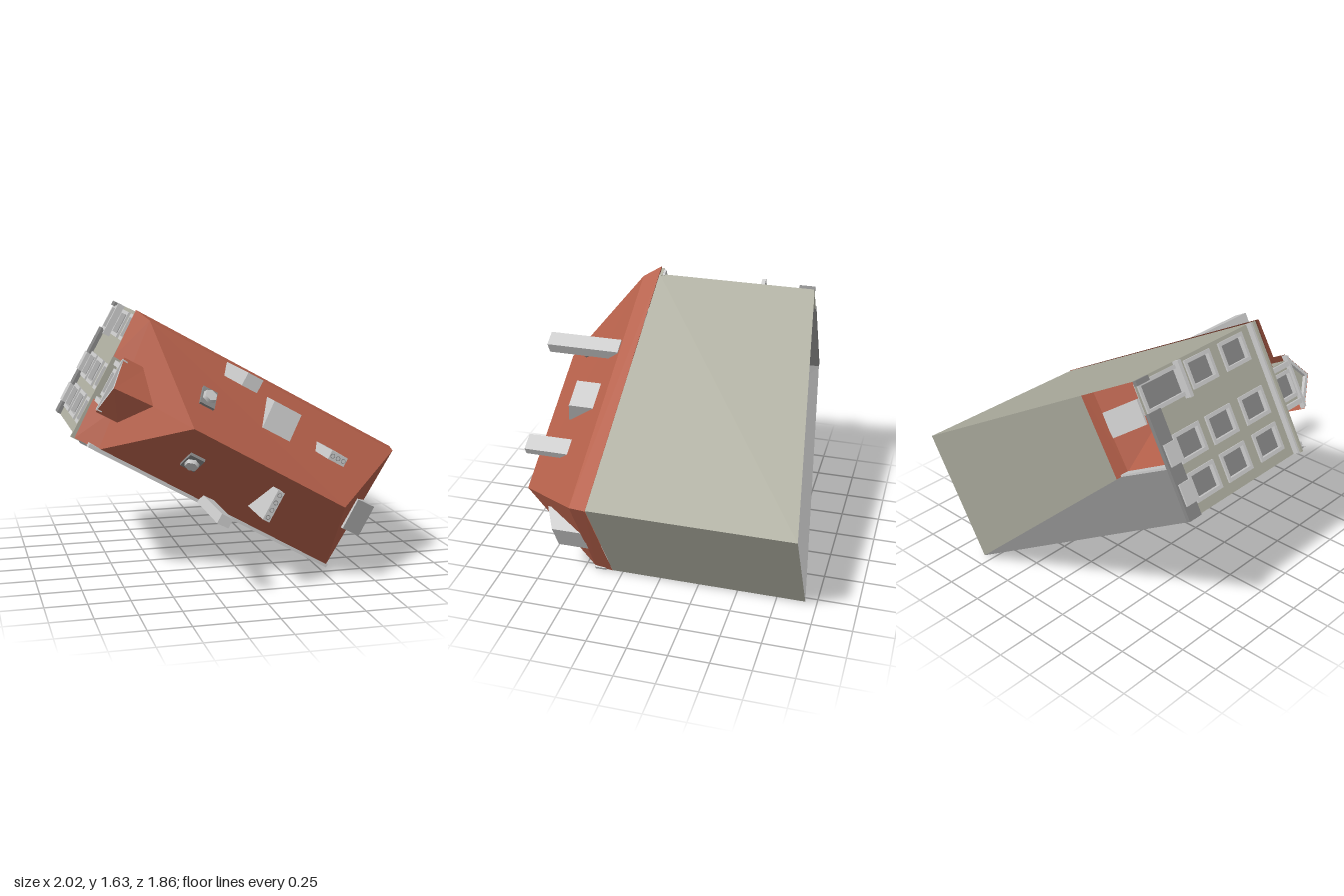
import * as THREE from 'three';

const mat = (name, color, side = THREE.DoubleSide) => {
  const m = new THREE.MeshStandardMaterial({ color, side });
  m.name = name;
  return m;
};

export function createModel() {
  const wall = mat('wall plaster', 0xadad9f);
  const roof = mat('roof tile', 0xb5604a);
  const light = mat('light stone', 0xcacaca);
  const grey = mat('grey concrete', 0x868686);

  const model = new THREE.Group();
  model.name = 'building';
  // Tilted frame: x runs along the ridge, y across it, z from base to roof
  const house = new THREE.Group();
  house.name = 'house';
  house.rotation.z = -0.507;
  model.add(house);

  const add = (name, geo, m, parent = house) => {
    const mesh = new THREE.Mesh(geo, m);
    mesh.name = name;
    parent.add(mesh);
    return mesh;
  };
  const box = (name, m, sx, sy, sz, x, y, z, parent = house) => {
    const b = add(name, new THREE.BoxGeometry(sx, sy, sz), m, parent);
    b.position.set(x, y, z);
    return b;
  };
  // Flat convex faces, each given by its corners
  const faces = (name, m, polys) => {
    const pos = [];
    for (const p of polys)
      for (let i = 1; i < p.length - 1; i++) pos.push(...p[0], ...p[i], ...p[i + 1]);
    const g = new THREE.BufferGeometry();
    g.setAttribute('position', new THREE.Float32BufferAttribute(pos, 3));
    g.computeVertexNormals();
    return add(name, g, m);
  };
  const shapeOf = pts => new THREE.Shape(pts.map(p => new THREE.Vector2(...p)));
  const rect = (x, y, w, h) => [[x - w / 2, y - h / 2], [x + w / 2, y - h / 2], [x + w / 2, y + h / 2], [x - w / 2, y + h / 2]];
  const extrude = (shape, depth) => new THREE.ExtrudeGeometry(shape, { depth, bevelEnabled: false });

  // Walls, longer towards one end; the base is open
  const zE = 0.315;
  const wA = [-1.28, 1.125], wB = [0.51, 1.13], wC = [0.475, 0.28], wD = [-1.28, 0.29];
  const wallFace = (a, b, za, zb, top) => [[...a, top], [...b, top], [...b, zb], [...a, za]];
  faces('longWall', wall, [wallFace(wA, wB, -0.71, -0.93, zE)]);
  faces('endWall', wall, [wallFace(wB, wC, -0.93, -0.93, zE)]);
  faces('fireWall', grey, [wallFace(wC, wD, -0.93, -0.71, 0.4)]);
  const parapet = box('parapet', light, 1.71, 0.024, 0.07, -0.378, 0.293, 0.395);
  parapet.rotation.z = -0.012;

  // Hipped roof with a steep eave band and an opening behind the gabled dormer
  const A = [-1.339, 1.132, zE], B = [0.514, 1.133, zE], C = [0.476, 0.276, zE], D = [-1.307, 0.292, zE];
  const a = [-1.258, 1.115, 0.42], b = [0.5, 1.117, 0.42], c = [0.465, 0.29, 0.43], d = [-1.168, 0.305, 0.42];
  const R = [-0.845, 0.697, 0.88], S = [0.189, 0.689, 0.88];
  const mix = (p, q, t) => p.map((v, i) => v + (q[i] - v) * t);
  const e1 = mix(D, A, 0.31), e2 = mix(D, A, 0.64), m1 = mix(d, a, 0.31), m2 = mix(d, a, 0.64);
  const peak = [-1.06, 0.69, 0.61];
  faces('roof', roof, [
    [A, B, b, a], [B, C, c, b],
    [a, b, S, R], [b, c, S], [c, d, R, S],
    [D, e1, m1, d], [e2, A, a, m2], [d, m1, peak, R], [m2, a, R, peak],
  ]);

  // Facade frame: x runs along the wall, y up the wall, z into the building
  const facade = new THREE.Group();
  facade.name = 'facade';
  facade.setRotationFromMatrix(new THREE.Matrix4().makeBasis(
    new THREE.Vector3(0, 1, 0), new THREE.Vector3(0, 0, 1), new THREE.Vector3(1, 0, 0)));
  facade.position.x = -1.28;
  house.add(facade);

  const openings = [];
  for (const x of [0.44, 0.675, 1.015])
    for (const y of [-0.48, -0.2, 0.1])
      openings.push(x > 1 && y < -0.4 ? [x, -0.53, 0.14, 0.29] : [x, y, 0.13, 0.18]);
  const front = shapeOf([[0.29, -0.71], [1.125, -0.71], [1.125, zE], [0.29, zE]]);
  for (const o of openings) front.holes.push(shapeOf(rect(...o)));
  add('facadeWall', new THREE.ShapeGeometry(front), wall, facade);

  const windowAt = (x, y, w, h) => {
    const ring = shapeOf(rect(x, y, w + 0.045, h + 0.04));
    ring.holes.push(shapeOf(rect(x, y, w, h)));
    add('windowFrame', extrude(ring, 0.035), light, facade).position.z = -0.012;
    box('windowPane', grey, w, h, 0.006, x, y, 0.02, facade);
  };
  openings.forEach(o => windowAt(...o));

  // Plinth either side of the door, basement windows and cornice
  box('plinth', grey, 0.64, 0.1, 0.025, 0.61, -0.66, -0.012, facade);
  box('plinth', grey, 0.03, 0.1, 0.025, 1.11, -0.66, -0.012, facade);
  for (const x of [0.44, 0.675]) box('basementWindow', light, 0.13, 0.09, 0.035, x, -0.65, -0.018, facade);
  box('doorHood', light, 0.22, 0.025, 0.05, 1.015, -0.375, -0.02, facade);
  box('cornice', light, 0.84, 0.015, 0.045, 0.708, 0.285, -0.015, facade);
  box('cornice', wall, 0.84, 0.018, 0.06, 0.708, 0.302, -0.02, facade);

  // Gabled dormer above the facade
  const gable = shapeOf([[0.54, zE], [0.82, zE], [0.82, 0.49], [0.68, 0.605], [0.54, 0.49]]);
  gable.holes.push(shapeOf(rect(0.68, 0.4, 0.13, 0.15)));
  add('dormerFront', new THREE.ShapeGeometry(gable), wall, facade);
  windowAt(0.68, 0.4, 0.13, 0.15);
  for (const x of [0.56, 0.8]) box('dormerPilaster', light, 0.03, 0.17, 0.03, x, 0.4, -0.012, facade);
  box('dormerCornice', light, 0.33, 0.018, 0.035, 0.68, 0.492, -0.012, facade);
  const trim = shapeOf([[0.505, 0.485], [0.68, 0.62], [0.855, 0.485], [0.82, 0.485], [0.68, 0.595], [0.54, 0.485]]);
  add('dormerGableTrim', extrude(trim, 0.03), light, facade).position.z = -0.022;
  const ridge0 = [-1.302, 0.68, 0.623], ridge1 = [-1.05, 0.69, 0.623];
  for (const s of [-1, 1]) {
    const y = 0.68 + s * 0.178, yw = 0.68 + s * 0.14;
    faces('dormerRoof', roof, [[ridge0, [-1.302, y, 0.484], [-1.16, y, 0.484], ridge1]]);
    faces('dormerCheek', wall, [[[-1.28, yw, zE], [-1.2, yw, 0.42], [-1.15, yw, 0.49], [-1.28, yw, 0.49]]]);
  }

  // Shed dormers on the long slope and on the end hip
  const side = add('shedDormer', extrude(shapeOf([[1.045, 0.47], [1.045, 0.655], [0.875, 0.69], [0.875, 0.64]]), 0.19), light);
  side.quaternion.copy(facade.quaternion);
  side.position.x = -0.428;
  const end = add('endShedDormer', extrude(shapeOf([[0.48, 0.42], [0.48, 0.615], [0.33, 0.685], [0.33, 0.64]]), 0.2), light);
  end.rotation.x = Math.PI / 2;
  end.position.y = 0.758;

  // Chimneys: centre, size, bottom, top, flue count along the longer side
  for (const [x, y, w, h, z0, z1, n] of [
    [-0.678, 1.076, 0.1, 0.08, 0.43, 0.9, 0],
    [0.002, 0.922, 0.11, 0.055, 0.6, 0.88, 3],
    [-0.208, 0.508, 0.045, 0.19, 0.56, 0.88, 4],
    [-0.443, 0.314, 0.075, 0.06, 0.42, 0.925, 0],
  ]) {
    box('chimney', light, w, h, z1 - z0, x, y, (z0 + z1) / 2);
    for (let i = 0; i < n; i++) {
      const t = (i + 0.5) / n - 0.5;
      const ring = add('flue', new THREE.RingGeometry(0.011, 0.015, 8), grey);
      ring.position.set(x + (w > h ? t * w : 0), y + (h > w ? t * h : 0), z1 + 0.002);
    }
  }

  // Roof hatches lying on both slopes
  for (const [x, y, z, s] of [[-0.802, 0.876, 0.685, -1], [-0.703, 0.513, 0.68, 1]]) {
    const hatch = new THREE.Group();
    hatch.name = 'roofHatch';
    hatch.position.set(x, y, z);
    hatch.rotation.x = s * 0.82;
    house.add(hatch);
    box('hatchFrame', grey, 0.095, 0.13, 0.02, 0, 0, 0.005, hatch);
    const lid = add('hatchLid', new THREE.CylinderGeometry(0.04, 0.045, 0.03, 6), light, hatch);
    lid.rotation.x = Math.PI / 2;
    lid.position.z = 0.025;
  }
  return model;
}
